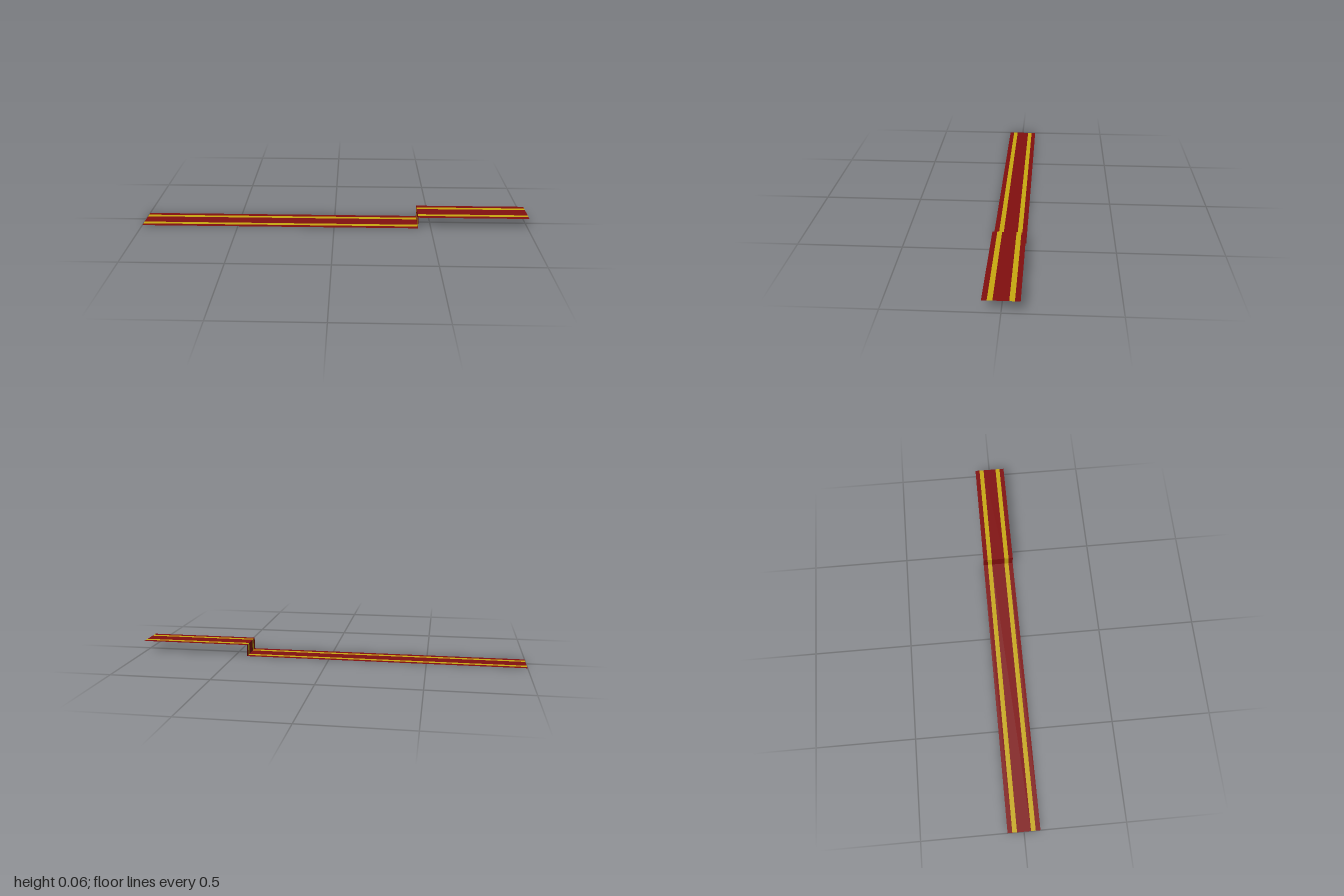
import * as THREE from 'three';

// side profile of the carpet: lower floor, one step riser, upper floor
const PROFILE = [[-1, 0], [0.434, 0], [0.434, 0.06], [1, 0.06]];

// one lengthwise band between two z positions, folded along the profile
function band(name, z0, z1, material) {
  const plane = new THREE.PlaneGeometry(1, z1 - z0, PROFILE.length - 1, 1);
  plane.rotateX(-Math.PI / 2);
  const pos = plane.attributes.position;
  for (let i = 0; i < pos.count; i++) {
    const [x, y] = PROFILE[i % PROFILE.length];
    pos.setXYZ(i, x, y, pos.getZ(i) + (z0 + z1) / 2);
  }
  const geometry = plane.toNonIndexed(); // keeps the folds sharp
  geometry.computeVertexNormals();
  const mesh = new THREE.Mesh(geometry, material);
  mesh.name = name;
  return mesh;
}

export function createModel() {
  const group = new THREE.Group();
  group.name = 'steppedCarpet';
  const red = new THREE.MeshStandardMaterial({ color: 0x820f0f, side: THREE.DoubleSide });
  const gold = new THREE.MeshStandardMaterial({ color: 0xc9aa10, side: THREE.DoubleSide });

  // red runner with a gold stripe near each edge
  group.add(
    band('backBorder', -0.08, -0.057, red),
    band('backStripe', -0.057, -0.034, gold),
    band('centreRunner', -0.034, 0.034, red),
    band('frontStripe', 0.034, 0.057, gold),
    band('frontBorder', 0.057, 0.08, red),
  );
  return group;
}
